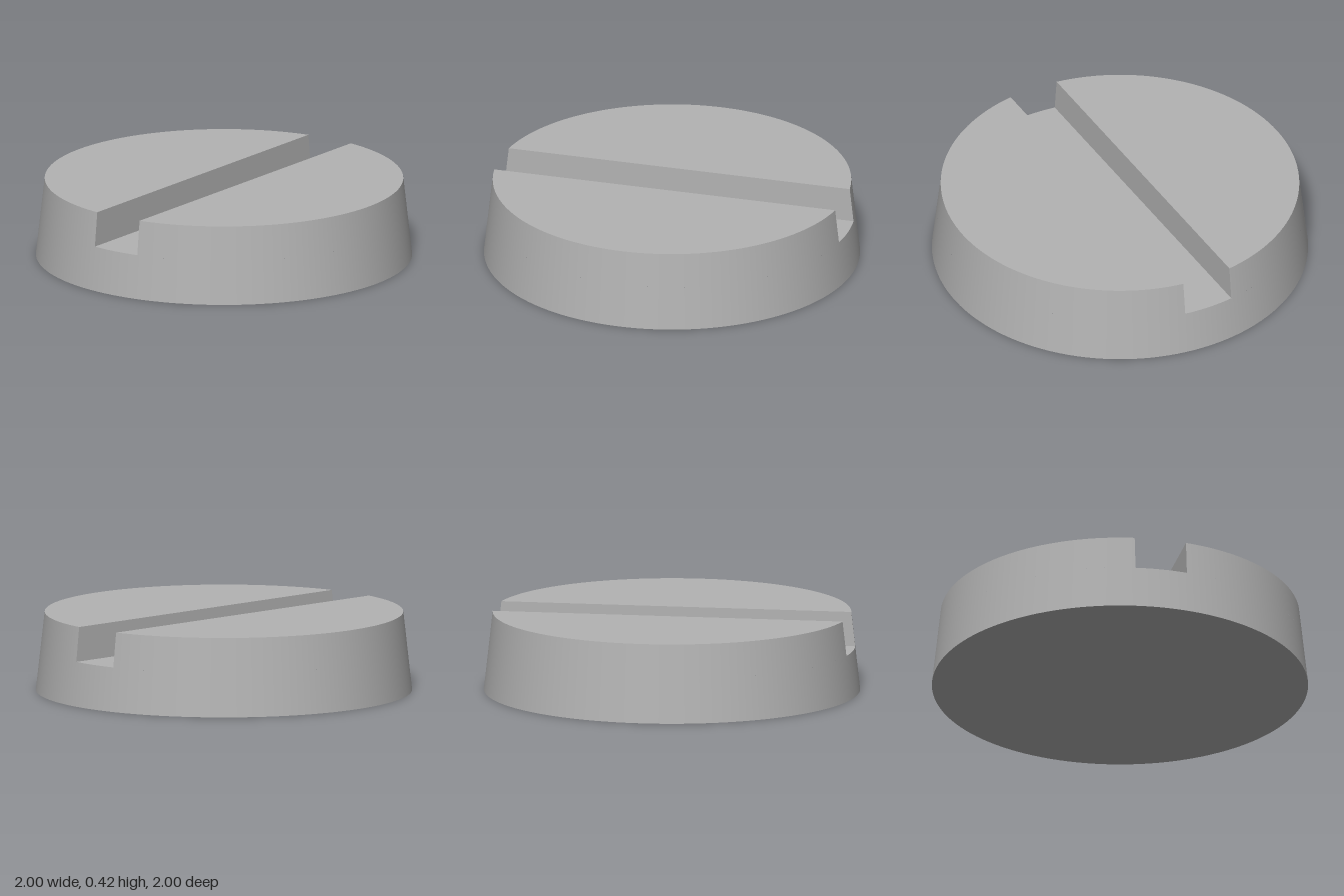
import * as THREE from 'three';

const H = 0.42, FLOOR = 0.235, SLOT = 0.14, SEG = 128;
const radius = (y) => 1 - (0.047 * y) / H;      // tapered side
const limit = (y) => Math.acos(SLOT / radius(y)); // arc half-angle beside the slot

// Points (x, -z) along an arc at height y, angle measured from +z towards +x
function arc(y, from, to, n) {
  const pts = [];
  for (let i = 0; i <= n; i++) {
    const a = from + ((to - from) * i) / n;
    pts.push(new THREE.Vector2(radius(y) * Math.sin(a), -radius(y) * Math.cos(a)));
  }
  return pts;
}

function flat(points, y) {
  return new THREE.ShapeGeometry(new THREE.Shape(points)).rotateX(-Math.PI / 2).translate(0, y, 0);
}

export function createModel() {
  const group = new THREE.Group();
  const grey = new THREE.MeshStandardMaterial({ color: 0xb3b3b3 });
  grey.name = 'grey';
  const add = (parent, name, geometry) => {
    const mesh = new THREE.Mesh(geometry, grey);
    mesh.name = name;
    parent.add(mesh);
  };

  // Lower disc: continuous side, underside and slot floor
  add(group, 'lowerSide', new THREE.CylinderGeometry(radius(FLOOR), 1, FLOOR, SEG, 1, true).translate(0, FLOOR / 2, 0));
  add(group, 'underside', new THREE.CircleGeometry(1, SEG).rotateX(Math.PI / 2));
  const t = limit(FLOOR);
  add(group, 'slotFloor', flat([
    ...arc(FLOOR, t, Math.PI - t, 12),
    ...arc(FLOOR, Math.PI + t, 2 * Math.PI - t, 12),
  ], FLOOR));

  // Two raised halves, one on each side of the slot
  for (const [name, turn] of [['frontHalf', 0], ['backHalf', Math.PI]]) {
    const half = new THREE.Group();
    half.name = name;
    half.rotation.y = turn;

    // Curved side, its ends slid along the rim to meet the slot plane
    const side = new THREE.CylinderGeometry(radius(H), radius(FLOOR), H - FLOOR, 64, 1, true, -1, 2)
      .translate(0, (H + FLOOR) / 2, 0);
    const p = side.attributes.position, n = side.attributes.normal;
    const slope = 0.047 / H;
    for (let i = 0; i < p.count; i++) {
      const y = p.getY(i);
      const a = Math.atan2(p.getX(i), p.getZ(i)) * limit(y);
      p.setXYZ(i, radius(y) * Math.sin(a), y, radius(y) * Math.cos(a));
      const k = Math.hypot(1, slope);
      n.setXYZ(i, Math.sin(a) / k, slope / k, Math.cos(a) / k);
    }
    add(half, name + 'Side', side);
    add(half, name + 'Top', flat(arc(H, -limit(H), limit(H), 64), H));

    // Slot wall
    const low = radius(FLOOR) * Math.sin(limit(FLOOR)), high = radius(H) * Math.sin(limit(H));
    const wall = new THREE.Shape([
      new THREE.Vector2(-low, FLOOR), new THREE.Vector2(low, FLOOR),
      new THREE.Vector2(high, H), new THREE.Vector2(-high, H),
    ]);
    add(half, name + 'SlotWall', new THREE.ShapeGeometry(wall).rotateY(Math.PI).translate(0, 0, SLOT));
    group.add(half);
  }
  return group;
}
